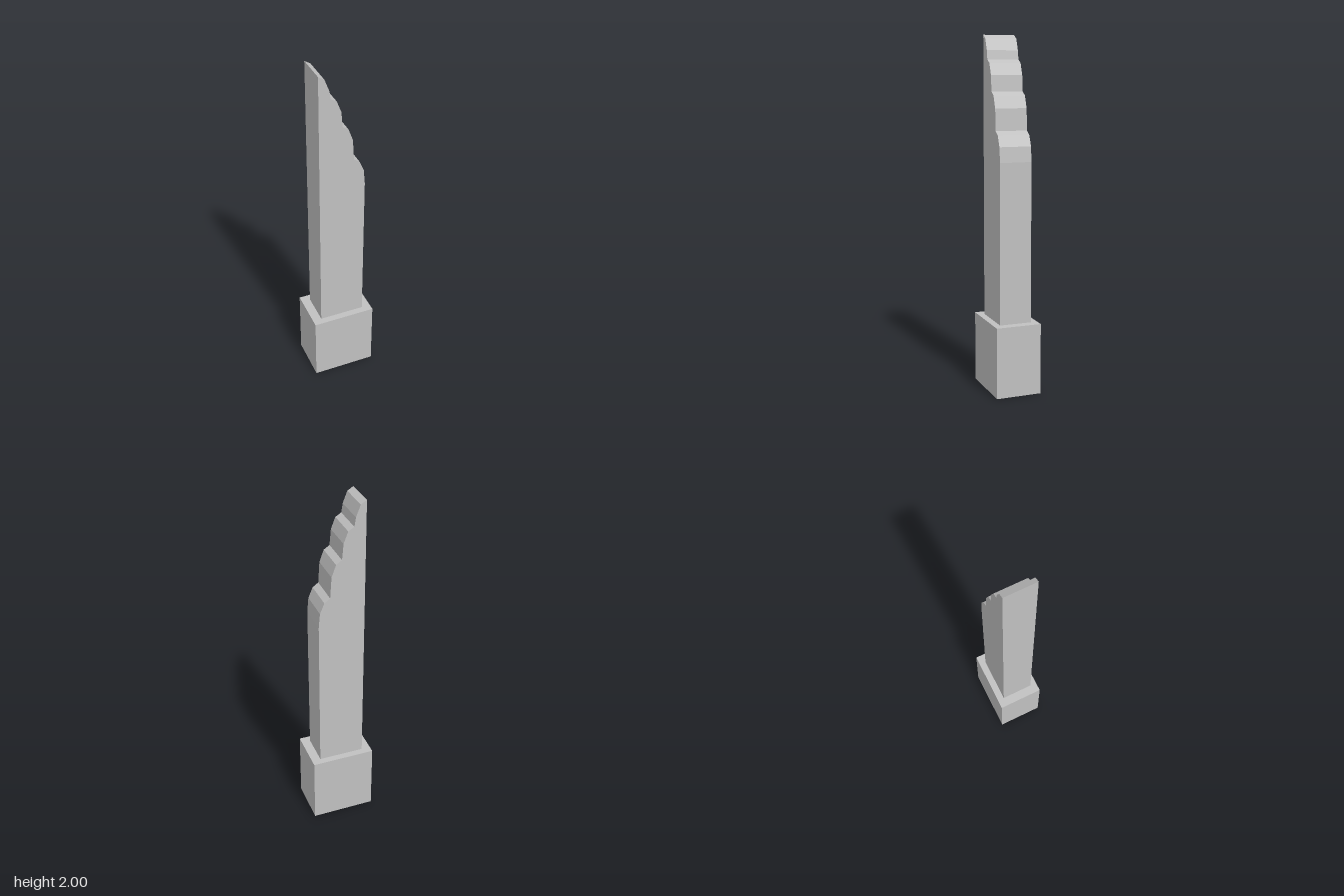
import * as THREE from 'three';

const grey = new THREE.MeshStandardMaterial({ color: 0xc0c0c0, side: THREE.DoubleSide });
grey.name = 'plain grey';

// Hollow plinth: a box with its underside left open
function makePlinth(width, height, depth) {
  const geometry = new THREE.BoxGeometry(width, height, depth);
  const index = Array.from(geometry.index.array);
  index.splice(18, 6);
  geometry.setIndex(index);
  geometry.clearGroups();
  geometry.translate(0, height / 2, 0);
  const mesh = new THREE.Mesh(geometry, grey);
  mesh.name = 'plinth';
  return mesh;
}

// Upright slab whose top descends in four rounded, faceted steps
function makeSteppedTower(bottom, halfWidth, depth) {
  const stepWidth = halfWidth / 2;
  const steps = [[2.0, 1.98, 1.915, 1.865], [1.865, 1.845, 1.78, 1.69],
    [1.69, 1.668, 1.6, 1.478], [1.478, 1.455, 1.395, 1.31]];
  const across = [0, 0.5, 0.88, 1];
  const points = [new THREE.Vector2(halfWidth, bottom), new THREE.Vector2(-halfWidth, bottom)];
  steps.forEach((heights, i) => heights.forEach((y, j) => {
    if (i > 0 && j === 0) return; // shared with the end of the step above
    points.push(new THREE.Vector2(-halfWidth + (i + across[j]) * stepWidth, y));
  }));
  const geometry = new THREE.ExtrudeGeometry(new THREE.Shape(points.reverse()), { depth, bevelEnabled: false });
  geometry.translate(0, 0, -depth / 2);
  const mesh = new THREE.Mesh(geometry, grey);
  mesh.name = 'steppedTower';
  return mesh;
}

export function createModel() {
  const group = new THREE.Group();
  group.name = 'steppedMonument';
  group.add(makePlinth(0.366, 0.405, 0.262), makeSteppedTower(0.405, 0.131, 0.184));
  return group;
}
